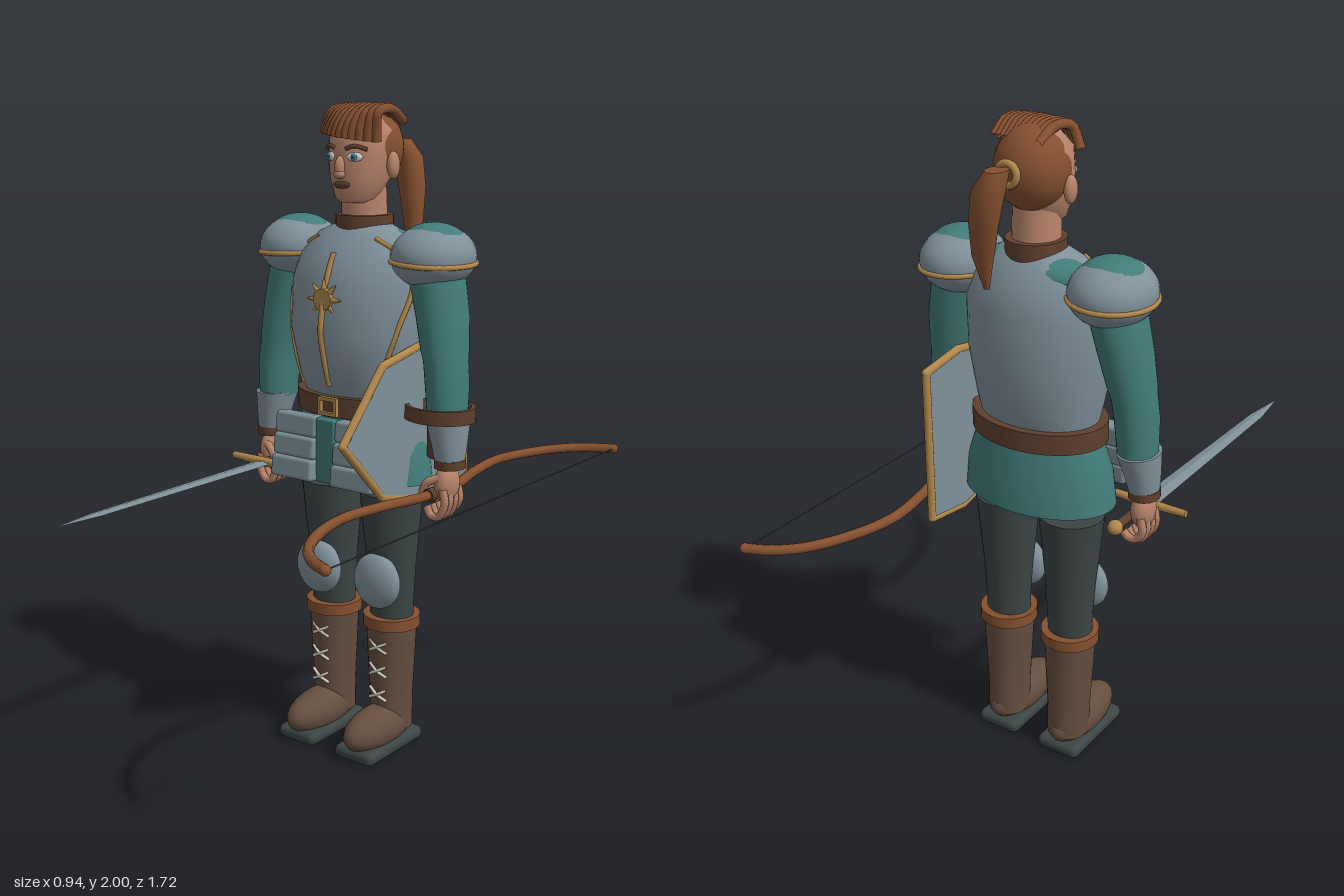
import * as THREE from 'three';
import { toCreasedNormals } from 'three/addons/utils/BufferGeometryUtils.js';
import { RoundedBoxGeometry } from 'three/addons/geometries/RoundedBoxGeometry.js';

const paint = (name, color) => Object.assign(new THREE.MeshStandardMaterial({ color }), { name });
const steel = paint('steel', 0x7f9099), teal = paint('teal cloth', 0x427c79), charcoal = paint('charcoal', 0x3c4645);
const boot = paint('boot brown', 0x654e3f), rust = paint('chestnut', 0x85502f), gold = paint('gold', 0xb0874b);
const skin = paint('skin', 0xb8846b), leather = paint('leather', 0x5f402e), ivory = paint('ivory', 0xd9d4c4), blue = paint('blue', 0x4f8fae);
teal.side = THREE.DoubleSide;

const V = (x, y, z) => new THREE.Vector3(x, y, z);

function add(parent, name, geometry, material, x = 0, y = 0, z = 0) {
  const mesh = new THREE.Mesh(geometry, material);
  mesh.name = name;
  mesh.position.set(x, y, z);
  parent.add(mesh);
  return mesh;
}

// Smooth skin over level ellipses [x, y, z, rx, rz], listed from bottom to top
function loft(rings, capped = true, n = 28) {
  const list = rings.slice();
  if (capped) {
    const a = rings[0], b = rings[rings.length - 1];
    list.unshift([a[0], a[1], a[2], 1e-4, 1e-4], a);
    list.push(b, [b[0], b[1], b[2], 1e-4, 1e-4]);
  }
  const pos = [], idx = [];
  list.forEach(([x, y, z, rx, rz], i) => {
    for (let j = 0; j < n; j++) {
      const a = j / n * Math.PI * 2;
      pos.push(x + rx * Math.cos(a), y, z + rz * Math.sin(a));
      if (i === 0) continue;
      const k = (j + 1) % n, lo = (i - 1) * n, hi = i * n;
      idx.push(lo + j, hi + j, lo + k, hi + j, hi + k, lo + k);
    }
  });
  const g = new THREE.BufferGeometry();
  g.setAttribute('position', new THREE.Float32BufferAttribute(pos, 3));
  g.setIndex(idx);
  g.computeVertexNormals();
  return g;
}

const ball = (rx, ry, rz) => new THREE.SphereGeometry(1, 28, 20).scale(rx, ry, rz);
const tube = (points, r, seg = 16) => new THREE.TubeGeometry(new THREE.CatmullRomCurve3(points), seg, r, 8);
const box = (w, h, d, r = 0.008) => new RoundedBoxGeometry(w, h, d, 2, r);

// Elliptical strap with a rectangular section
function band(rx, rz, h, t = 0.015) {
  const p = [[1 - t / rx, -h / 2], [1, -h / 2], [1, h / 2], [1 - t / rx, h / 2], [1 - t / rx, -h / 2]];
  return toCreasedNormals(new THREE.LatheGeometry(p.map(q => new THREE.Vector2(...q)), 36).scale(rx, 1, rz), 0.7);
}

// Straight rod between two points
function rod(a, b, r, r2 = r) {
  const d = b.clone().sub(a), len = d.length();
  const g = new THREE.CylinderGeometry(r2, r, len, 10).translate(0, len / 2, 0);
  g.applyQuaternion(new THREE.Quaternion().setFromUnitVectors(V(0, 1, 0), d.normalize()));
  return g.translate(a.x, a.y, a.z);
}

const torsoRings = [[0, 1.13, -.12, .185, .13], [0, 1.2, -.115, .197, .16], [0, 1.34, -.11, .22, .187], [0, 1.48, -.117, .226, .17],
  [0, 1.56, -.125, .205, .145], [0, 1.62, -.13, .15, .1], [0, 1.65, -.13, .08, .07]];

// Point on the cuirass surface at a height and angle (90 degrees is the front)
function torsoPoint(y, degrees) {
  let i = 1;
  while (i < torsoRings.length - 1 && torsoRings[i][1] < y) i++;
  const a = torsoRings[i - 1], b = torsoRings[i], t = (y - a[1]) / (b[1] - a[1]);
  const [, , z, rx, rz] = a.map((v, k) => v + (b[k] - v) * t), q = degrees * Math.PI / 180;
  return V(rx * Math.cos(q), y, z + rz * Math.sin(q));
}

function buildLeg(s) {
  const g = new THREE.Group();
  g.name = s > 0 ? 'leftLeg' : 'rightLeg';
  g.position.x = s * 0.115;
  add(g, 'trouserLeg', loft([[0, .4, -.13, .07, .062], [0, .5, -.13, .072, .066], [0, .6, -.128, .077, .075], [0, .74, -.125, .09, .09], [0, .84, -.125, .1, .097]]), charcoal);
  add(g, 'kneeGuard', ball(.084, .088, .042), steel, 0, .565, -.052);
  add(g, 'bootShaft', loft([[0, .06, -.135, .064, .072], [0, .16, -.133, .065, .073], [0, .3, -.131, .074, .077], [0, .42, -.13, .081, .08]]), boot);
  add(g, 'bootCuff', band(.09, .09, .036, .03), rust, 0, .422, -.13);
  add(g, 'bootFoot', ball(.069, .07, .155), boot, 0, .077, -.06);
  add(g, 'sole', box(.148, .044, .287, .02), charcoal, 0, .022, -.067);
  for (const y of [.185, .265, .345]) for (const d of [-1, 1])
    add(g, 'bootLace', tube([V(-.032, y - .018 * d, -.061), V(0, y, -.053), V(.032, y + .018 * d, -.061)], .005, 6), ivory);
  return g;
}

function buildArm(s) {
  const g = new THREE.Group(), mx = rings => rings.map(([x, ...r]) => [x * s, ...r]);
  g.name = s > 0 ? 'leftArm' : 'rightArm';
  add(g, 'sleeve', loft(mx([[.326, 1.09, -.11, .056, .066], [.322, 1.2, -.113, .062, .073], [.313, 1.27, -.117, .063, .074], [.307, 1.3, -.12, .068, .079],
    [.29, 1.4, -.13, .076, .086], [.267, 1.5, -.135, .08, .09], [.25, 1.6, -.137, .08, .09]])), teal);
  add(g, 'pauldron', ball(.122, .095, .136), steel, s * .25, 1.565, -.137);
  add(g, 'shoulderCloth', ball(.1, .064, .1), teal, s * .25, 1.6, -.137);
  const trim = add(g, 'pauldronTrim', new THREE.TorusGeometry(1, .065, 8, 40).rotateX(Math.PI / 2).scale(.12, .12, .134), gold, s * .25, 1.55, -.137);
  trim.rotation.z = s * -.04;
  add(g, 'bracer', loft(mx([[.345, .965, -.1, .042, .046], [.34, 1.02, -.103, .05, .058], [.33, 1.1, -.11, .061, .077]])), steel);
  add(g, 'wristStrap', band(.046, .05, .026, .03), leather, s * .345, .97, -.1);
  add(g, 'palm', ball(.034, .06, .047), skin, s * .34, .91, -.093);
  for (let i = 0; i < 4; i++) {
    const z = -.053 - i * .026, d = i === 3 ? .012 : 0;
    add(g, 'finger', tube([V(s * .352, .9, z), V(s * .36, .855, z), V(s * .338, .814 + d, z), V(s * .31, .815 + d, z), V(s * .297, .842, z)], .0125, 12), skin);
  }
  add(g, 'thumb', tube([V(s * .335, .93, -.06), V(s * .302, .915, -.045), V(s * .285, .88, -.045)], .013, 8), skin);
  return g;
}

function buildHead() {
  const g = new THREE.Group();
  g.name = 'head';
  add(g, 'neck', loft([[0, 1.62, -.135, .07, .072], [0, 1.78, -.13, .066, .07]]), skin);
  add(g, 'face', loft([[0, 1.712, -.095, .045, .05], [0, 1.725, -.098, .062, .068], [0, 1.78, -.113, .087, .094], [0, 1.85, -.125, .098, .108], [0, 1.92, -.13, .096, .106], [0, 1.965, -.135, .06, .07]]), skin);
  add(g, 'hair', ball(.107, .118, .102), rust, 0, 1.868, -.152);
  add(g, 'nose', ball(.015, .034, .02), skin, 0, 1.815, -.018);
  add(g, 'noseTip', ball(.018, .013, .016), skin, 0, 1.795, -.013);
  add(g, 'lips', ball(.03, .011, .008), leather, 0, 1.765, -.024);
  for (const s of [-1, 1]) {
    add(g, 'ear', ball(.017, .04, .024), skin, s * .108, 1.82, -.13);
    add(g, 'eyeWhite', ball(.024, .013, .008), ivory, s * .045, 1.845, -.029).rotation.y = s * .4;
    add(g, 'iris', ball(.0115, .0115, .005), blue, s * .045, 1.845, -.022);
    add(g, 'pupil', ball(.005, .005, .003), charcoal, s * .045, 1.845, -.0175);
    add(g, 'eyebrow', tube([V(s * .018, 1.868, -.02), V(s * .045, 1.876, -.027), V(s * .074, 1.866, -.05)], .006, 8), leather);
  }
  // Combed fringe
  for (let i = 0; i < 11; i++) {
    const t = i / 10 * 2 - 1, bow = t * t;
    add(g, 'fringeLock', tube([V(.02 + t * .07, 1.945, -.2), V(.025 + t * .078, 1.984 - .004 * bow, -.12), V(.015 + t * .085, 1.97, -.05 - .015 * bow),
      V(t * .093, 1.925, -.022 - .045 * bow), V(-.005 + t * .096, 1.9 - .012 * t, -.02 - .05 * bow)], .0145, 14), rust);
  }
  add(g, 'ponytail', loft([[.068, 1.55, -.275, .008, .008], [.066, 1.65, -.292, .033, .026], [.052, 1.75, -.303, .044, .037], [.034, 1.835, -.306, .048, .043], [.018, 1.89, -.285, .03, .04]]), rust);
  add(g, 'hairTie', new THREE.TorusGeometry(.03, .011, 10, 24), gold, .008, 1.872, -.256);
  return g;
}

function buildTorso() {
  const g = new THREE.Group();
  g.name = 'torso';
  add(g, 'cuirass', loft(torsoRings, true, 48), steel);
  add(g, 'yoke', ball(.19, .062, .088), teal, 0, 1.585, -.15);
  add(g, 'collar', band(.085, .09, .05, .03), leather, 0, 1.65, -.135);
  add(g, 'centreRidge', tube([1.18, 1.27, 1.35, 1.45, 1.52, 1.57].map(y => torsoPoint(y, 90)), .009, 24), gold);
  for (const s of [-1, 1])
    add(g, 'cuirassTrim', tube([[1.165, 42], [1.25, 35], [1.36, 25], [1.48, 14], [1.56, 22], [1.615, 48]].map(([y, a]) => torsoPoint(y, 90 - s * (90 - a))), .008, 32), gold);
  // Sun badge
  const c = torsoPoint(1.44, 90);
  add(g, 'sunDisc', new THREE.CylinderGeometry(.032, .034, .022, 24).rotateX(Math.PI / 2), gold, c.x, c.y, c.z);
  for (let i = 0; i < 8; i++) {
    const a = i * Math.PI / 4, dir = V(Math.cos(a), Math.sin(a), 0);
    add(g, 'sunRay', rod(dir.clone().multiplyScalar(.03), dir.multiplyScalar(.062), .009, .002), gold, c.x, c.y, c.z);
  }
  // Skirt, belt and hip plates
  add(g, 'skirt', loft([[0, .885, -.12, .247, .165], [0, .98, -.12, .235, .16], [0, 1.1, -.12, .195, .135]], false, 40), teal);
  add(g, 'belt', band(.215, .158, .062, .04), leather, 0, 1.115, -.12);
  const frame = new THREE.Shape([[-.035, -.028], [.035, -.028], [.035, .028], [-.035, .028]].map(p => new THREE.Vector2(...p)));
  frame.holes.push(new THREE.Path([[-.024, -.017], [-.024, .017], [.024, .017], [.024, -.017]].map(p => new THREE.Vector2(...p))));
  add(g, 'buckle', new THREE.ExtrudeGeometry(frame, { depth: .015, bevelEnabled: false }), gold, 0, 1.117, .035);
  add(g, 'frontTab', box(.072, .2, .03), teal, 0, .982, .046);
  for (const s of [-1, 1]) for (let i = 0; i < 3; i++)
    add(g, 'hipPlate', box(.16, .068, .05, .012), steel, s * .115, .915 + i * .066, .06 - i * .012).rotation.x = -.1;
  return g;
}

function buildSword() {
  const g = new THREE.Group();
  g.name = 'sword';
  g.position.set(-.335, .882, 0);
  const blade = (r1, r2, len) => toCreasedNormals(new THREE.CylinderGeometry(r2, r1, len, 4).rotateX(Math.PI / 2).scale(1, .22, 1), .3);
  add(g, 'blade', blade(.031, .021, .7), steel, 0, 0, .35);
  add(g, 'bladeTip', blade(.021, .0005, .15), steel, 0, 0, .775);
  for (const s of [-1, 1]) add(g, 'crossGuard', rod(V(0, 0, -.015), V(s * .132, .003, -.015), .015, .011), gold);
  add(g, 'hilt', rod(V(0, 0, -.18), V(0, 0, -.01), .014), leather);
  add(g, 'pommel', ball(.023, .023, .023), gold, 0, 0, -.19);
  return g;
}

function buildBow() {
  const g = new THREE.Group();
  g.name = 'bow';
  g.position.set(0, .88, -.1);
  const half = [[.456, .757], [.39, .725], [.325, .665], [.265, .555], [.226, .4], [.245, .24], [.28, .1]];
  const path = [...half.map(([x, z]) => V(x, 0, -z)), V(.287, 0, 0), ...half.slice().reverse().map(([x, z]) => V(x, 0, z))];
  add(g, 'bowStave', tube(path, .0155, 90), rust);
  for (const s of [-1, 1]) add(g, 'staveTip', ball(.0155, .0155, .0155), rust, .456, 0, s * .757);
  add(g, 'bowGrip', rod(V(.285, 0, -.07), V(.285, 0, .07), .02), leather);
  add(g, 'bowString', rod(V(.456, 0, -.757), V(.456, 0, .757), .0022), charcoal);
  return g;
}

function buildShield() {
  const g = new THREE.Group();
  g.name = 'shield';
  const outline = [[.245, 1.067], [.06, 1.268], [-.22, 1.32], [-.37, 1.298], [-.37, .832], [-.22, .812], [.06, .878]];
  const shape = new THREE.Shape(outline.map(p => new THREE.Vector2(...p)));
  add(g, 'shieldPlate', new THREE.ExtrudeGeometry(shape, { depth: .018, bevelEnabled: false }).rotateY(-Math.PI / 2), steel, .194);
  outline.forEach(([z, y], i) => {
    const [z2, y2] = outline[(i + 1) % outline.length];
    add(g, 'shieldRim', rod(V(.185, y, z), V(.185, y2, z2), .0125), gold);
    add(g, 'rimCorner', ball(.0125, .0125, .0125), gold, .185, y, z);
  });
  add(g, 'armStrap', band(.11, .092, .042, .014), leather, .28, 1.12, -.095);
  add(g, 'handleBlock', box(.05, .15, .055, .018), leather, .225, 1.03, -.16);
  return g;
}

export function createModel() {
  const model = new THREE.Group();
  model.name = 'armouredArcher';
  const figure = new THREE.Group();
  figure.name = 'figure';
  figure.position.x = -.03;
  figure.add(buildHead(), buildTorso());
  for (const s of [-1, 1]) figure.add(buildLeg(s), buildArm(s));
  model.add(figure, buildSword(), buildBow(), buildShield());
  return model;
}
